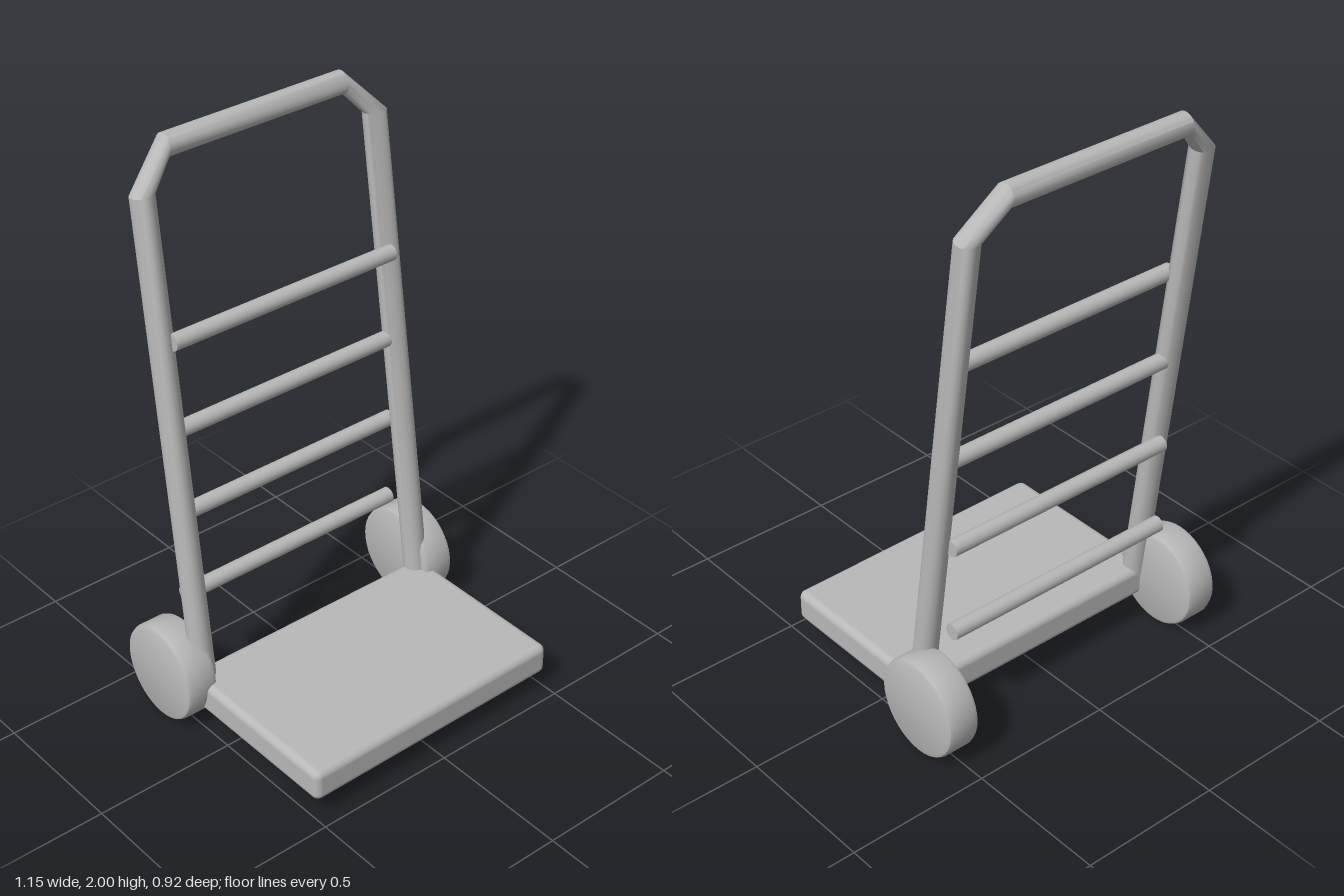
import * as THREE from 'three';
import { toCreasedNormals } from 'three/addons/utils/BufferGeometryUtils.js';
import { RoundedBoxGeometry } from 'three/addons/geometries/RoundedBoxGeometry.js';

const grey = new THREE.MeshStandardMaterial({ color: 0xb8b8b8 });
grey.name = 'grey metal';

function addPart(group, name, geometry, x = 0, y = 0, z = 0) {
  const mesh = new THREE.Mesh(geometry, grey);
  mesh.name = name;
  mesh.position.set(x, y, z);
  group.add(mesh);
  return mesh;
}

// Bent pipe: rings square to the poles and handle, joined by pinched corners
function frameGeometry() {
  const sides = 20;
  const up = new THREE.Vector3(0, 1, -0.134).normalize();
  const across = new THREE.Vector3(1, 0, 0);
  const normal = across.clone().cross(up);
  const down = up.clone().negate();
  // [centre, pipe direction, radius]
  const rings = [
    [new THREE.Vector3(-0.463, 0.14, -0.163), up, 0.041],
    [new THREE.Vector3(-0.45, 1.845, -0.392), up, 0.04],
    [new THREE.Vector3(-0.342, 1.962, -0.424), across, 0.0385],
    [new THREE.Vector3(0.342, 1.962, -0.424), across, 0.0385],
    [new THREE.Vector3(0.45, 1.845, -0.392), down, 0.04],
    [new THREE.Vector3(0.463, 0.14, -0.163), down, 0.041],
  ];
  const positions = [];
  const indices = [];
  for (const [centre, direction, radius] of rings) {
    const inward = direction.clone().cross(normal);
    for (let j = 0; j < sides; j++) {
      const a = (j / sides) * Math.PI * 2;
      const p = centre.clone()
        .addScaledVector(inward, radius * Math.cos(a))
        .addScaledVector(normal, radius * Math.sin(a));
      positions.push(p.x, p.y, p.z);
    }
  }
  const last = (rings.length - 1) * sides;
  const startCentre = rings.length * sides;
  positions.push(...rings[0][0].toArray(), ...rings[rings.length - 1][0].toArray());
  for (let j = 0; j < sides; j++) {
    const k = (j + 1) % sides;
    for (let i = 0; i < last; i += sides) {
      indices.push(i + j, i + sides + j, i + k);
      indices.push(i + k, i + sides + j, i + sides + k);
    }
    // Closed pole ends
    indices.push(startCentre, j, k);
    indices.push(startCentre + 1, last + k, last + j);
  }
  const geometry = new THREE.BufferGeometry();
  geometry.setAttribute('position', new THREE.Float32BufferAttribute(positions, 3));
  geometry.setIndex(indices);
  return toCreasedNormals(geometry, 0.6);
}

// Solid wheel with softened rims, axle along x
function wheelGeometry(radius, width, bevel) {
  const h = width / 2;
  const profile = [
    [0, -h], [radius - bevel, -h], [radius - bevel * 0.3, -h + bevel * 0.3], [radius, -h + bevel],
    [radius, h - bevel], [radius - bevel * 0.3, h - bevel * 0.3], [radius - bevel, h], [0, h],
  ].map(([x, y]) => new THREE.Vector2(x, y));
  const geometry = new THREE.LatheGeometry(profile, 40);
  geometry.rotateZ(Math.PI / 2);
  return toCreasedNormals(geometry, 0.5);
}

export function createModel() {
  const model = new THREE.Group();
  model.name = 'handTruck';

  // Load plate, very slightly deeper on one side
  const plate = new RoundedBoxGeometry(1, 0.115, 0.655, 4, 0.026);
  const pos = plate.attributes.position;
  for (let i = 0; i < pos.count; i++) pos.setZ(i, pos.getZ(i) * (1 - 0.02 * pos.getX(i)));
  addPart(model, 'loadPlate', plate, 0, 0.127, 0.128);

  addPart(model, 'handleFrame', frameGeometry());

  // Cross bars
  const bar = new THREE.CylinderGeometry(0.028, 0.028, 0.88, 20);
  bar.rotateZ(Math.PI / 2);
  for (let i = 0; i < 4; i++) addPart(model, 'crossBar' + (i + 1), bar, 0, 0.425 + i * 0.3185, -0.29);

  // Wheels
  const wheel = wheelGeometry(0.171, 0.118, 0.017);
  for (const [name, side] of [['leftWheel', 1], ['rightWheel', -1]]) {
    addPart(model, name, wheel, side * 0.515, 0.175, -0.27);
  }
  return model;
}
